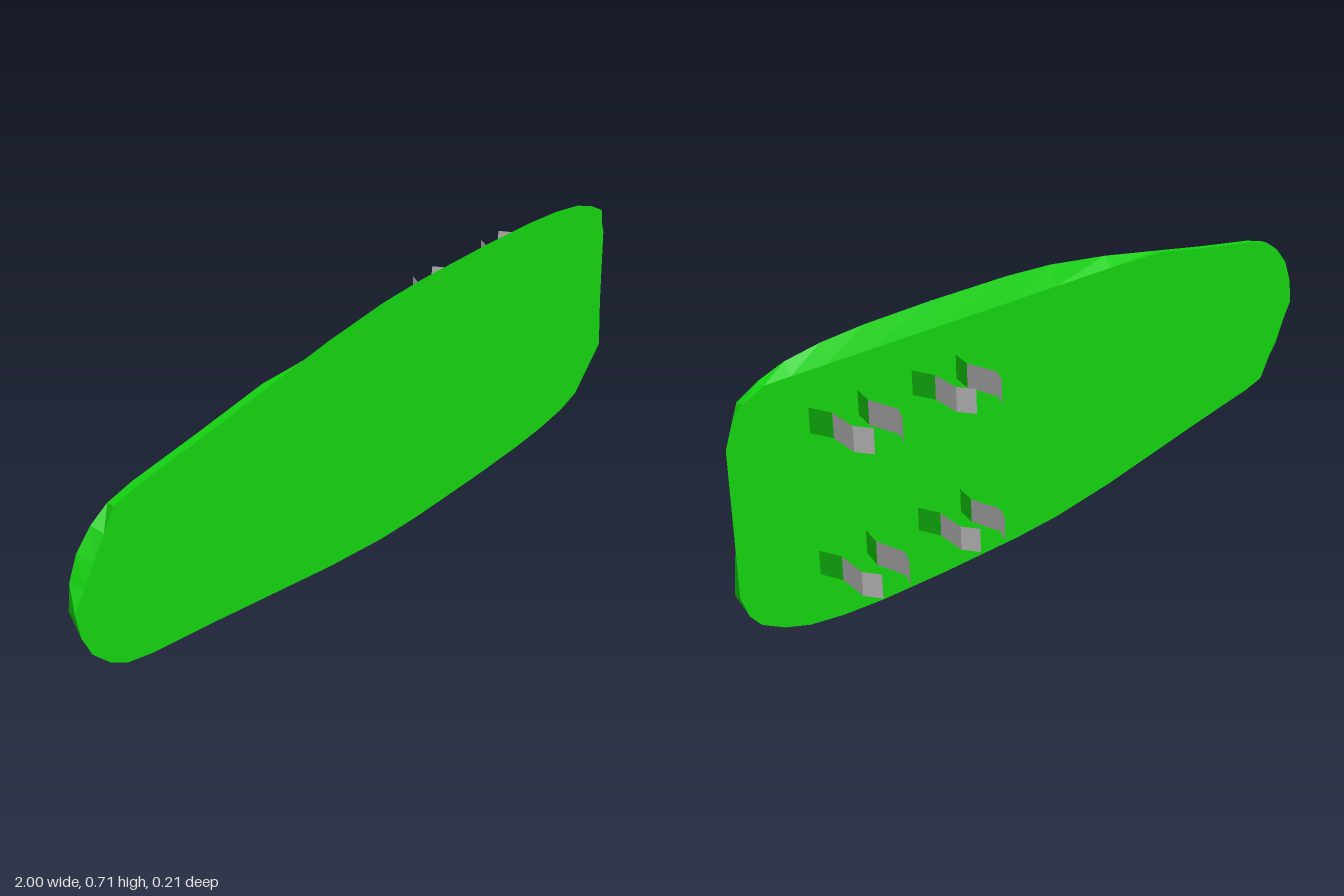
import * as THREE from 'three';

const MID = 0.358, FRONT = 0.105, BACK = 0.085;
const green = new THREE.MeshStandardMaterial({ color: 0x15d210, flatShading: true, side: THREE.DoubleSide });
const grey = new THREE.MeshStandardMaterial({ color: 0xcccccc, flatShading: true, side: THREE.DoubleSide });

// Half outline of the board: x and half height, from narrow tip to blunt end
const HALF = [
  [-1, 0], [-0.99, 0.07], [-0.965, 0.13], [-0.92, 0.18], [-0.87, 0.212], [-0.8, 0.23],
  [-0.6, 0.26], [-0.4, 0.293], [-0.2, 0.326], [0, 0.35], [0.15, 0.357], [0.4, 0.357],
  [0.6, 0.352], [0.72, 0.343], [0.82, 0.327], [0.89, 0.303], [0.95, 0.27], [0.98, 0.235], [1, 0.18],
];
const lower = HALF.map(([x, h]) => new THREE.Vector2(x, MID - h));
const upper = HALF.slice(1).reverse().map(([x, h]) => new THREE.Vector2(x, MID + h));
const outline = [...lower, ...upper];
const N = outline.length;

// Flattens the points between two outline indices onto the straight chord joining them
function cutCorner(points, from, to) {
  for (let i = from + 1; i < to; i++) {
    points[i % N] = points[from].clone().lerp(points[to % N], (i - from) / (to - from));
  }
}

function createBoard() {
  const front = outline.map((p) => p.clone());
  const back = outline.map((p) => p.clone());
  cutCorner(front, 15, 18); // lower blunt corner
  cutCorner(front, 18, 21); // upper blunt corner
  cutCorner(front, N - 4, N); // upper side of the tip
  cutCorner(back, 0, 4); // lower side of the tip
  // Long bevel along the top of the back
  back.forEach((p) => { if (p.x > -0.45) p.y = Math.min(p.y, 0.655); });

  const positions = [];
  const put = (p, z) => positions.push(p.x, p.y, z);
  for (const [a, b, c] of THREE.ShapeUtils.triangulateShape(front, [])) {
    [a, b, c].forEach((i) => put(front[i], FRONT));
  }
  for (const [a, b, c] of THREE.ShapeUtils.triangulateShape(back, [])) {
    [a, c, b].forEach((i) => put(back[i], BACK));
  }
  // Rim between the two faces
  for (let i = 0; i < N; i++) {
    const j = (i + 1) % N;
    put(back[i], BACK); put(back[j], BACK); put(front[j], FRONT);
    put(back[i], BACK); put(front[j], FRONT); put(front[i], FRONT);
  }
  const geometry = new THREE.BufferGeometry();
  geometry.setAttribute('position', new THREE.Float32BufferAttribute(positions, 3));
  geometry.computeVertexNormals();
  const mesh = new THREE.Mesh(geometry, green);
  mesh.name = 'board';
  return mesh;
}

// Thin upright strip between two plan points [x, z]
function strip(name, [x0, z0], [x1, z1], material) {
  const length = Math.hypot(x1 - x0, z1 - z0);
  const mesh = new THREE.Mesh(new THREE.PlaneGeometry(length, 0.062), material);
  mesh.position.set((x0 + x1) / 2, 0, (z0 + z1) / 2);
  mesh.rotation.y = -Math.atan2(z1 - z0, x1 - x0);
  mesh.name = name;
  return mesh;
}

// Spring clip: two mirrored bent prongs
function createClip(x, y) {
  const clip = new THREE.Group();
  clip.name = 'clip';
  const bends = [[0.069, 0.085], [0.05, 0.025], [0.064, -0.063], [0.04, -0.105]];
  for (const side of [1, -1]) {
    const prong = new THREE.Group();
    prong.name = side > 0 ? 'leftProng' : 'rightProng';
    const path = bends.map(([px, pz]) => [side * px, pz]);
    prong.add(
      strip('prongBase', path[0], path[1], green),
      strip('prongArm', path[1], path[2], grey),
      strip('prongTip', path[2], path[3], grey),
    );
    clip.add(prong);
  }
  clip.position.set(x, y, 0);
  return clip;
}

export function createModel() {
  const model = new THREE.Group();
  model.name = 'clipOnPanel';
  model.add(createBoard());
  for (const x of [0.711, 0.412]) {
    for (const y of [0.18, 0.538]) model.add(createClip(x, y));
  }
  return model;
}
